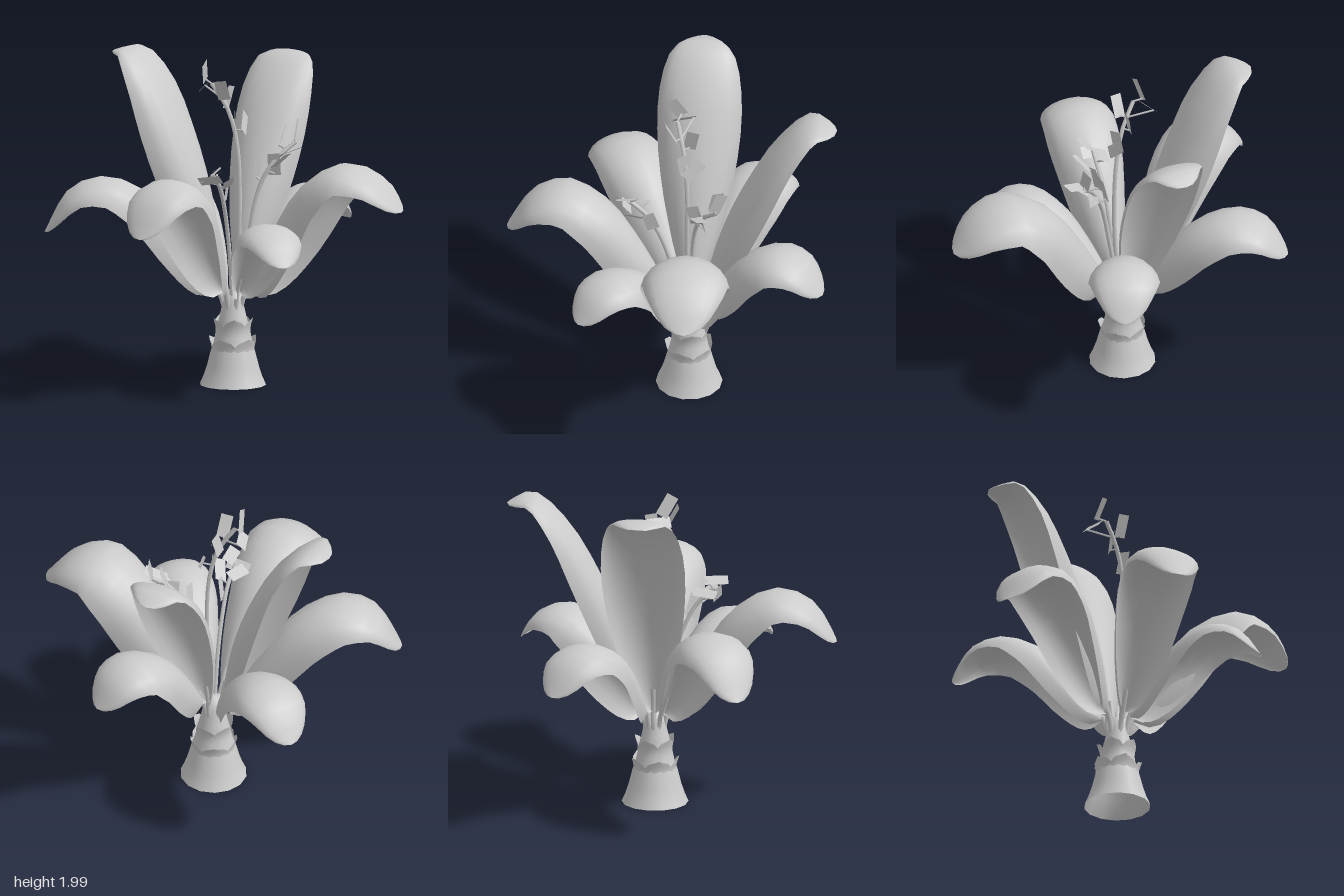
import * as THREE from 'three';

const AXIS = new THREE.Vector3(0.07, 0, 0.035);
const V = (x, y, z) => new THREE.Vector3(x, y, z);

// Smooth open surface from a rule point(u, v), u and v in 0..1
function sheet(rows, cols, point) {
  const pos = [], index = [];
  for (let i = 0; i <= rows; i++) {
    for (let j = 0; j <= cols; j++) {
      const p = point(i / rows, j / cols);
      pos.push(p.x, p.y, p.z);
      if (i < rows && j < cols) {
        const a = i * (cols + 1) + j, b = a + cols + 1;
        index.push(a, a + 1, b, a + 1, b + 1, b);
      }
    }
  }
  const g = new THREE.BufferGeometry();
  g.setAttribute('position', new THREE.Float32BufferAttribute(pos, 3));
  g.setIndex(index);
  g.computeVertexNormals();
  return g;
}

export function createModel() {
  const model = new THREE.Group();
  const mat = new THREE.MeshStandardMaterial({ color: 0xcccccc, side: THREE.DoubleSide });
  const add = (name, geometry, parent = model) => {
    const m = new THREE.Mesh(geometry, mat);
    m.name = name;
    parent.add(m);
    return m;
  };
  const tube = (points, radius, segs) =>
    new THREE.TubeGeometry(new THREE.CatmullRomCurve3(points), segs, radius, 6);

  // Flared trunk, open underneath
  const profile = [[0.2, 0], [0.178, 0.05], [0.158, 0.11], [0.135, 0.2], [0.112, 0.27],
    [0.1, 0.34], [0.08, 0.42], [0.062, 0.5], [0.05, 0.57], [0.001, 0.58]];
  add('trunk', new THREE.LatheGeometry(profile.map(p => new THREE.Vector2(...p)), 14))
    .position.copy(AXIS);

  // Two rings of pointed scales hugging the trunk
  [[0.15, 0.14, 0.132, 0.2], [0.27, 0.14, 0.108, 0.8]].forEach(([y0, h, r0, turn]) => {
    for (let k = 0; k < 5; k++) {
      const mid = turn + k * Math.PI * 2 / 5;
      add('trunkScale', sheet(6, 6, (u, v) => {
        const a = mid + (v * 2 - 1) * 0.82 * Math.sqrt(1 - u * u);
        const r = r0 + 0.006 - 0.012 * Math.sin(u * Math.PI) + 0.01 * u * u;
        return V(AXIS.x + Math.sin(a) * r, y0 + h * u, AXIS.z + Math.cos(a) * r);
      }));
    }
  });

  // Arching leaf: spine in a vertical plane, edges folded down from the midrib.
  // widen: how late the blade broadens, fold: depth of the folded edges
  const LOW = {
    spine: [[0.08, 0], [0.24, 0.45], [0.43, 0.83], [0.66, 1], [0.86, 0.9]],
    widen: 0.48, fold: 1, foldStart: 0.25
  };
  const TALL = {
    spine: [[0.07, 0], [0.2, 0.35], [0.38, 0.63], [0.6, 0.86], [0.83, 0.98]],
    widen: 0.6, fold: 0.85, foldStart: 0.4
  };
  function leaf(tipX, tipZ, halfWidth, peakY, tipY, type) {
    const group = new THREE.Group();
    group.name = 'leaf';
    model.add(group);
    const dir = V(tipX - AXIS.x, 0, tipZ - AXIS.z);
    const reach = dir.length();
    dir.normalize();
    const side = V(dir.z, 0, -dir.x);
    const at = (r, y) => AXIS.clone().addScaledVector(dir, r).setY(y);
    const y0 = 0.58;
    const pts = type.spine.map(([f, h]) => at(f * reach, y0 + h * (peakY - y0)));
    pts.push(at(reach, tipY));
    const spine = new THREE.CatmullRomCurve3(pts);
    add('leafBlade', sheet(18, 10, (s, v) => {
      // rows crowd towards both ends so that they come out rounded
      const t = (1 - Math.cos(Math.PI * s)) / 2;
      const u = v * 2 - 1;
      const round = halfWidth * 1.5 * Math.sqrt(Math.max(0, 1 - t ** 2.9));
      const w = round * Math.pow(t, type.widen);
      const drop = type.fold * round * Math.pow(t, type.foldStart) * (0.95 - 0.75 * t * t);
      const tan = spine.getTangentAt(t);
      const normal = dir.clone().multiplyScalar(-tan.y);
      normal.y = tan.dot(dir);
      return spine.getPointAt(t)
        .addScaledVector(side, w * Math.sin(u * 1.45) / Math.sin(1.45))
        .addScaledVector(normal, -drop * Math.abs(u) ** 1.9);
    }), group);
    // Leaf stalk from the trunk to the foot of the midrib
    add('leafStalk', tube([at(0.045, 0.4), at(0.06, 0.5), spine.getPointAt(0.02),
      spine.getPointAt(0.09)], 0.016, 8), group);
  }
  leaf(0.07, -0.97, 0.21, 1.15, 0.9, LOW);
  leaf(-0.945, -0.46, 0.22, 1.27, 0.94, LOW);
  leaf(-0.885, 0.58, 0.22, 1.36, 1.05, LOW);
  leaf(-0.09, 0.935, 0.19, 1.08, 0.86, LOW);
  leaf(0.71, 0.95, 0.26, 1.4, 1.13, LOW);
  leaf(0.945, -0.13, 0.21, 1.15, 0.91, LOW);
  leaf(-0.34, -0.675, 0.26, 2.02, 1.96, TALL);
  leaf(0.795, -0.475, 0.24, 1.94, 1.86, TALL);

  // Flower stalks, each with petals: position, then rotation
  const flowers = [
    {
      stalk: [[0.08, 0.5, 0.05], [0.09, 1.0, 0.08], [0.08, 1.45, 0.07], [0.03, 1.68, 0.04], [-0.05, 1.83, -0.01]],
      petals: [[-0.08, 1.9, -0.04, 0.2, 0.7, 0.4], [0.06, 1.74, 0, 0.2, 0.5, -0.3], [0.13, 1.59, 0.07, -0.3, 0.7, -0.6],
        [-0.06, 1.8, -0.09, 1.0, 0.6, 0.8], [0.06, 1.6, 0.07, 0.1, 1.1, 0.1], [-0.03, 1.8, 0.08, 0.6, -0.6, 0.5]]
    },
    {
      stalk: [[0.1, 0.5, 0.05], [0.14, 0.9, 0.1], [0.19, 1.2, 0.14], [0.27, 1.36, 0.18], [0.4, 1.47, 0.21]],
      petals: [[0.18, 1.32, 0.13, 0.2, 0.6, 0.1], [0.28, 1.37, 0.24, 0.9, 0.3, -0.4], [0.33, 1.43, 0.28, 1.2, 0.2, -0.9],
        [0.41, 1.54, 0.2, 0.2, 0.9, -0.5], [0.35, 1.5, 0.14, 0.5, 0.9, -0.5], [0.27, 1.34, 0.18, 0.3, -0.6, 0.2]]
    },
    {
      stalk: [[0.05, 0.5, 0.06], [0, 0.85, 0.11], [-0.06, 1.1, 0.16], [-0.12, 1.24, 0.21], [-0.2, 1.33, 0.26]],
      petals: [[-0.19, 1.37, 0.3, 1.2, 0.3, 0.9], [-0.18, 1.31, 0.2, 1.2, 0.2, 1.3], [-0.08, 1.21, 0.22, 0.3, 0.8, 0.1],
        [-0.12, 1.28, 0.31, 0.9, 0.3, 0.4], [-0.22, 1.3, 0.27, 0.9, -0.5, -0.8]]
    }
  ];
  const petalShape = new THREE.PlaneGeometry(0.075, 0.14);
  for (const { stalk, petals } of flowers) {
    const path = stalk.map(p => V(...p));
    const group = new THREE.Group();
    group.name = 'flowerStalk';
    model.add(group);
    add('stem', tube(path, 0.014, 16), group);
    const stemPoints = new THREE.CatmullRomCurve3(path).getPoints(20);
    for (const [x, y, z, rx, ry, rz] of petals) {
      const petal = add('petal', petalShape, group);
      petal.position.set(x, y, z);
      petal.rotation.set(rx, ry, rz);
      // Short twig from the nearest lower point of the stem to the petal's foot
      const foot = V(0, -0.06, 0).applyEuler(petal.rotation).add(petal.position);
      const from = stemPoints.filter(p => p.y < y - 0.03)
        .reduce((a, b) => (b.distanceTo(foot) < a.distanceTo(foot) ? b : a));
      add('twig', tube([from, foot], 0.006, 2), group);
    }
  }
  return model;
}
